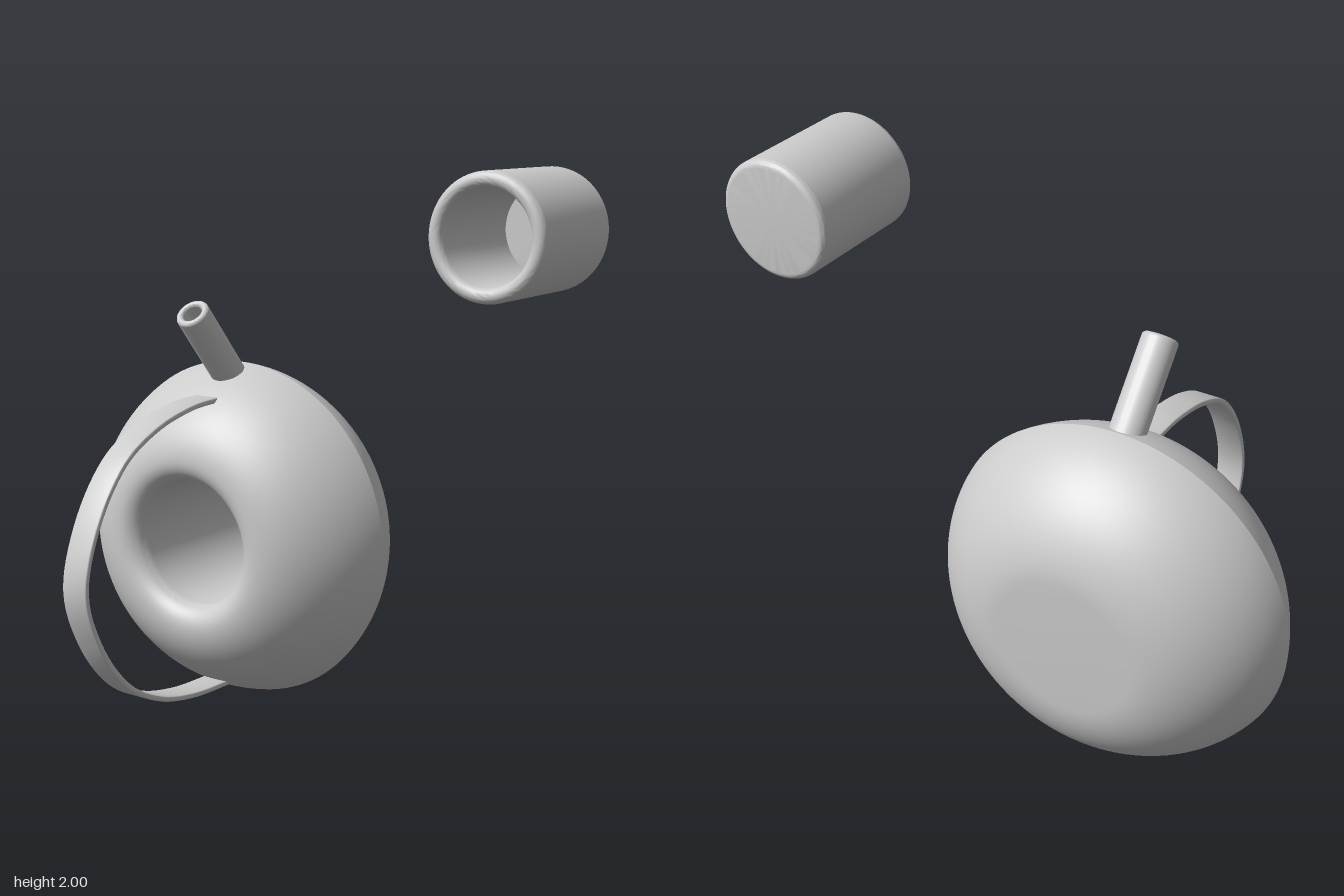
import * as THREE from 'three';
import { toCreasedNormals } from 'three/addons/utils/BufferGeometryUtils.js';

const V = (x, y) => new THREE.Vector2(x, y);
const material = new THREE.MeshStandardMaterial({ color: 0xcccccc });

// Quarter-round from angle a to b (degrees) about a centre
function arc(cx, cy, r, a, b, steps = 10) {
  const pts = [];
  for (let i = 0; i <= steps; i++) {
    const t = THREE.MathUtils.degToRad(a + (b - a) * i / steps);
    pts.push(V(cx + r * Math.cos(t), cy + r * Math.sin(t)));
  }
  return pts;
}

const bezier = (a, b, c, d) => new THREE.CubicBezierCurve(a, b, c, d).getPoints(24);

function part(name, geometry, crease = 0.35) {
  const mesh = new THREE.Mesh(toCreasedNormals(geometry, crease), material);
  mesh.name = name;
  return mesh;
}

// Profile (radius, height) turned about y
const turned = (name, pts, sides) => part(name, new THREE.LatheGeometry(pts, sides));

export function createModel() {
  const model = new THREE.Group();
  const cx = -0.365, cy = 0.637;

  // Pot body: flat back, pointed equator, rolled lip and a deep well
  const body = turned('potBody', [
    V(0, -0.635),
    ...bezier(V(0.245, -0.635), V(0.42, -0.635), V(0.6, -0.47), V(0.635, -0.287)),
    ...bezier(V(0.635, -0.287), V(0.575, -0.08), V(0.42, 0.05), V(0.31, 0.05)).slice(1),
    ...arc(0.31, -0.03, 0.08, 90, 180).slice(1),
    V(0.23, -0.57), V(0, -0.57),
  ], 112);
  body.rotation.x = Math.PI / 2;
  body.position.set(cx, cy, 0);
  model.add(body);

  // Spout: hollow tube with a rounded tip, leaning forward
  const R = 0.062, bore = 0.036, lip = (R - bore) / 2;
  const spout = turned('spout', [
    V(0, -0.4), V(R, -0.4),
    ...arc(R - lip, -lip, lip, 0, 180),
    V(bore, -0.3), V(0, -0.3),
  ], 40);
  spout.rotation.x = Math.atan2(0.655, 0.756);
  spout.position.set(cx, 1.483, -0.008);
  model.add(spout);

  // Handle: bowed flat strap, drawn in (z, y) and extruded across x
  const path = new THREE.SplineCurve([
    V(-0.09, 1.16), V(0.06, 1.152), V(0.25, 1.105), V(0.42, 1.01), V(0.555, 0.83),
    V(0.622, 0.61), V(0.555, 0.4), V(0.42, 0.225), V(0.25, 0.127), V(0.06, 0.082), V(-0.14, 0.07),
  ]);
  const outer = [], inner = [], n = 64, half = 0.004, bevel = 0.006;
  for (let i = 0; i <= n; i++) {
    const p = path.getPoint(i / n), t = path.getTangent(i / n);
    outer.push(V(p.x - t.y * half, p.y + t.x * half));
    inner.unshift(V(p.x + t.y * half, p.y - t.x * half));
  }
  const width = 0.105 - 2 * bevel;
  const strap = new THREE.ExtrudeGeometry(new THREE.Shape([...outer, ...inner]), {
    depth: width, bevelEnabled: true, bevelSize: bevel, bevelThickness: bevel, bevelSegments: 3,
  });
  strap.translate(0, 0, -width / 2);
  strap.rotateY(-Math.PI / 2);
  const handle = part('handle', strap, 0.7);
  handle.position.x = cx;
  model.add(handle);

  // Separate cup, open to the front
  const cup = turned('cup', [
    V(0, -0.482),
    ...arc(0.18, -0.457, 0.025, -90, 0),
    ...arc(0.18, -0.025, 0.025, 0, 180),
    V(0.155, -0.44), V(0, -0.44),
  ], 72);
  cup.rotation.x = Math.PI / 2;
  cup.position.set(0.793, 1.796, 0);
  model.add(cup);

  return model;
}
